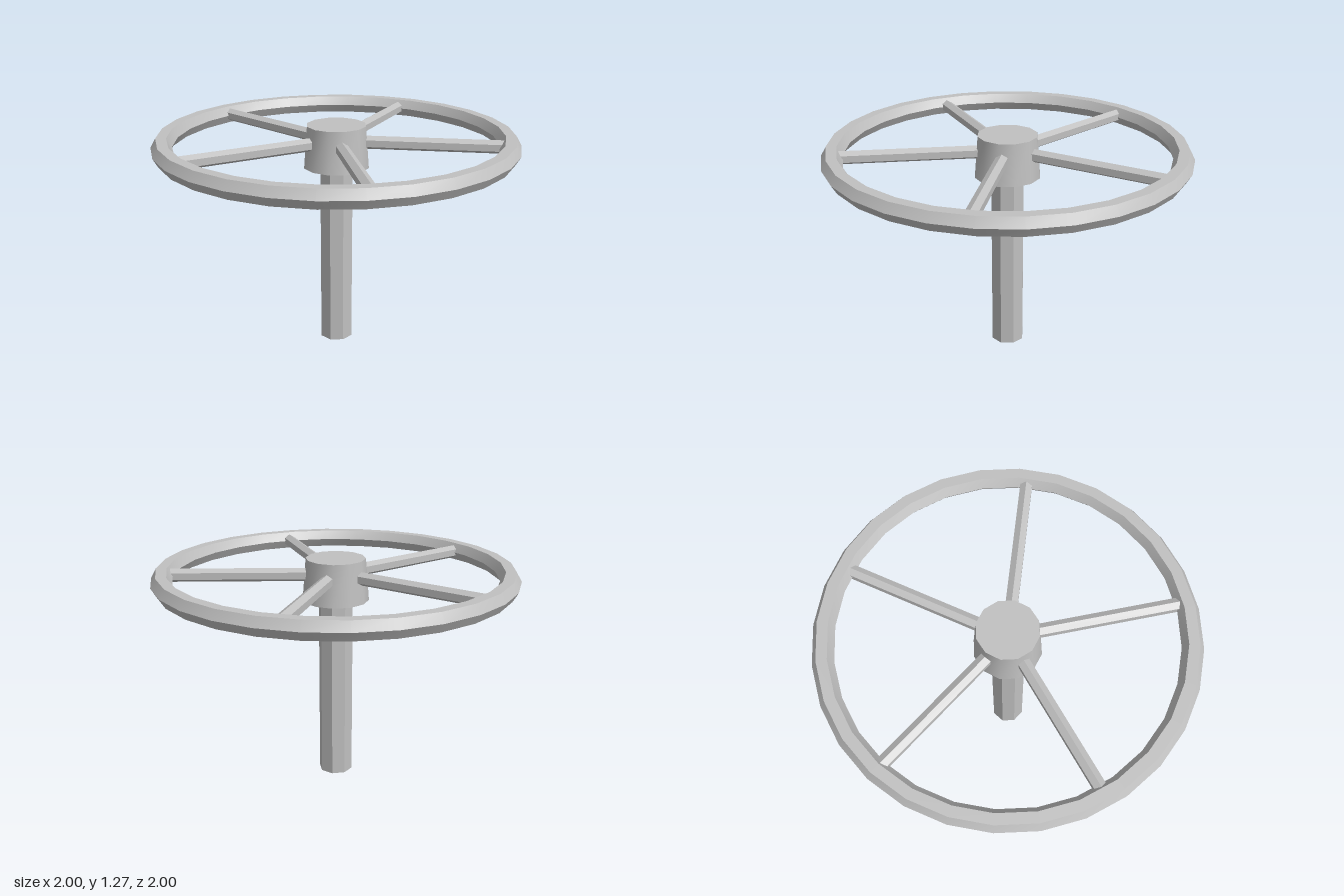
import * as THREE from 'three';
import { toCreasedNormals } from 'three/addons/utils/BufferGeometryUtils.js';

export function createModel() {
  const model = new THREE.Group();
  model.name = 'handwheel';
  const metal = new THREE.MeshStandardMaterial({ color: 0xc0c0c0 });
  metal.name = 'light grey metal';

  // Smooth around the rim and hub, sharp on bevels and bars
  const add = (name, geometry) => {
    const mesh = new THREE.Mesh(toCreasedNormals(geometry, 0.6), metal);
    mesh.name = name;
    model.add(mesh);
  };

  const wheelY = 1.18;

  // Hexagonal-section rim
  add('rim', new THREE.TorusGeometry(0.943, 0.057, 6, 28).rotateX(Math.PI / 2).translate(0, wheelY, 0));

  // Tapered hub
  add('hub', new THREE.CylinderGeometry(0.165, 0.184, 0.233, 12).translate(0, 1.1555, 0));

  // Octagonal shaft, flats facing the axes
  add('shaft', new THREE.CylinderGeometry(0.096, 0.096, 1.06, 8).rotateY(Math.PI / 8).translate(0, 0.53, 0));

  // Five hexagonal spokes with a ridge on top, the first pointing back
  const inner = 0.1, outer = 0.906;
  for (let i = 0; i < 5; i++) {
    const bar = new THREE.CylinderGeometry(0.037, 0.037, outer - inner, 6)
      .translate(0, (inner + outer) / 2, 0)
      .rotateX(-Math.PI / 2)
      .rotateY((i * Math.PI * 2) / 5)
      .translate(0, wheelY, 0);
    add('spoke' + (i + 1), bar);
  }

  return model;
}
